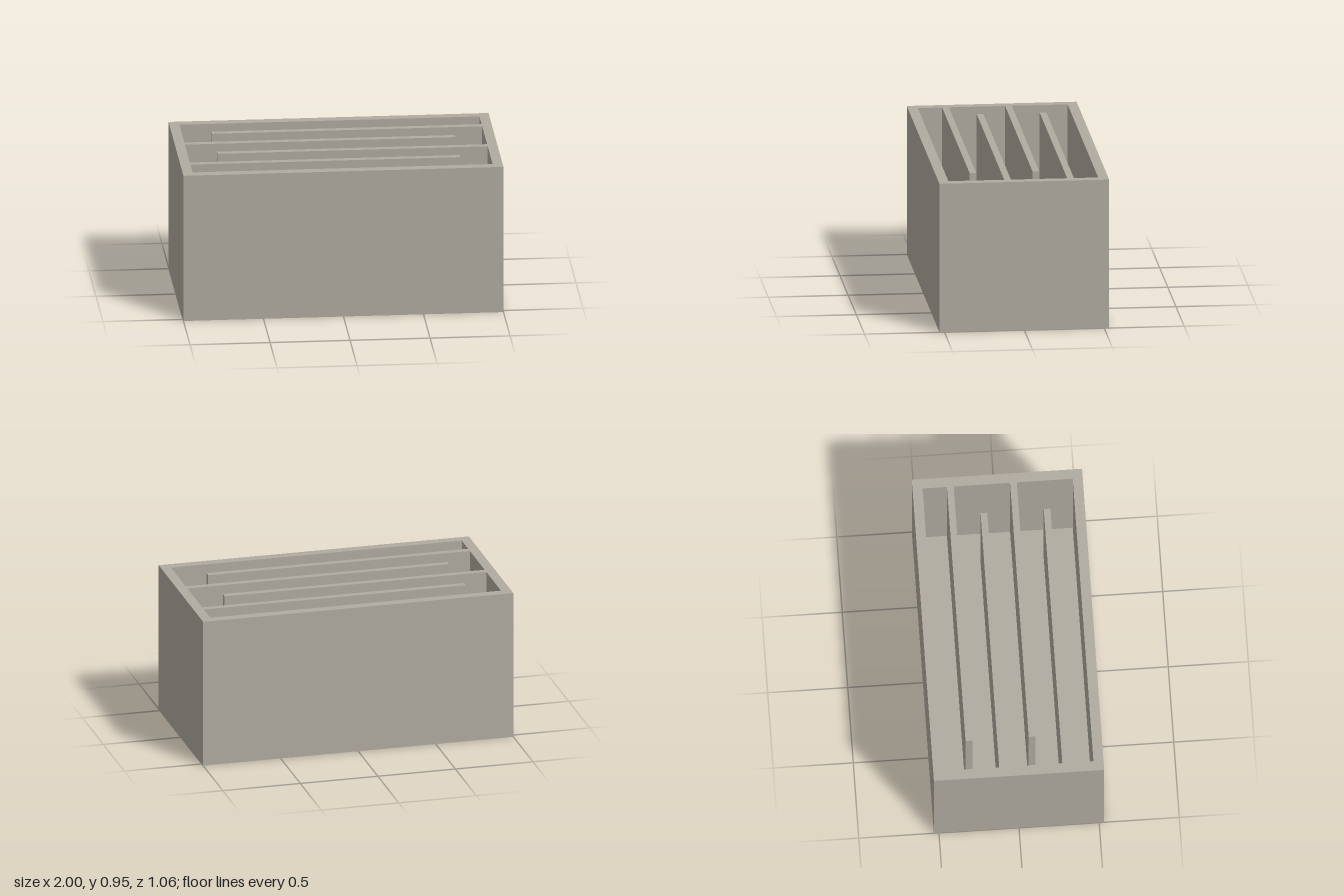
import * as THREE from 'three';

const LENGTH = 2, DEPTH = 1.0625, HEIGHT = 0.953;
const WALL = 0.0625, FLOOR = 0.0625;
const BAFFLE = 0.042, GAP = 0.1875, PITCH = 0.197;

// Rectangle centred on the origin
function rectanglePoints(w, d) {
  return [[-w / 2, -d / 2], [w / 2, -d / 2], [w / 2, d / 2], [-w / 2, d / 2]]
    .map(([x, z]) => new THREE.Vector2(x, z));
}

// Outline of the winding channel: baffles grow alternately from each end wall
function channelPoints() {
  const x = LENGTH / 2 - WALL, z = DEPTH / 2 - WALL;
  const points = [];
  const addBaffle = (centre, side, dir) => {
    const a = centre - dir * BAFFLE / 2, b = centre + dir * BAFFLE / 2;
    const tip = -side * (x - GAP);
    points.push([side * x, a], [tip, a], [tip, b], [side * x, b]);
  };
  points.push([-x, -z], [x, -z]);
  for (const i of [-1.5, 0.5]) addBaffle(i * PITCH, 1, 1);
  points.push([x, z], [-x, z]);
  for (const i of [1.5, -0.5]) addBaffle(i * PITCH, -1, -1);
  return points.map(([px, pz]) => new THREE.Vector2(px, pz));
}

// Extrude a plan shape upward from y = 0
function raise(shape, height) {
  const geometry = new THREE.ExtrudeGeometry(shape, { depth: height, bevelEnabled: false });
  return geometry.rotateX(Math.PI / 2).translate(0, height, 0);
}

export function createModel() {
  const group = new THREE.Group();
  group.name = 'baffledTank';
  const stone = new THREE.MeshStandardMaterial({ color: 0xb0aba1 });
  stone.name = 'warmGrey';

  const add = (name, geometry) => {
    const mesh = new THREE.Mesh(geometry, stone);
    mesh.name = name;
    group.add(mesh);
  };

  // Outer walls and baffles in one piece
  const walls = new THREE.Shape(rectanglePoints(LENGTH, DEPTH));
  walls.holes.push(new THREE.Path(channelPoints()));
  add('wallsAndBaffles', raise(walls, HEIGHT));

  // Floor fills the bottom of the channel
  add('channelFloor', raise(new THREE.Shape(channelPoints()), FLOOR));

  return group;
}
